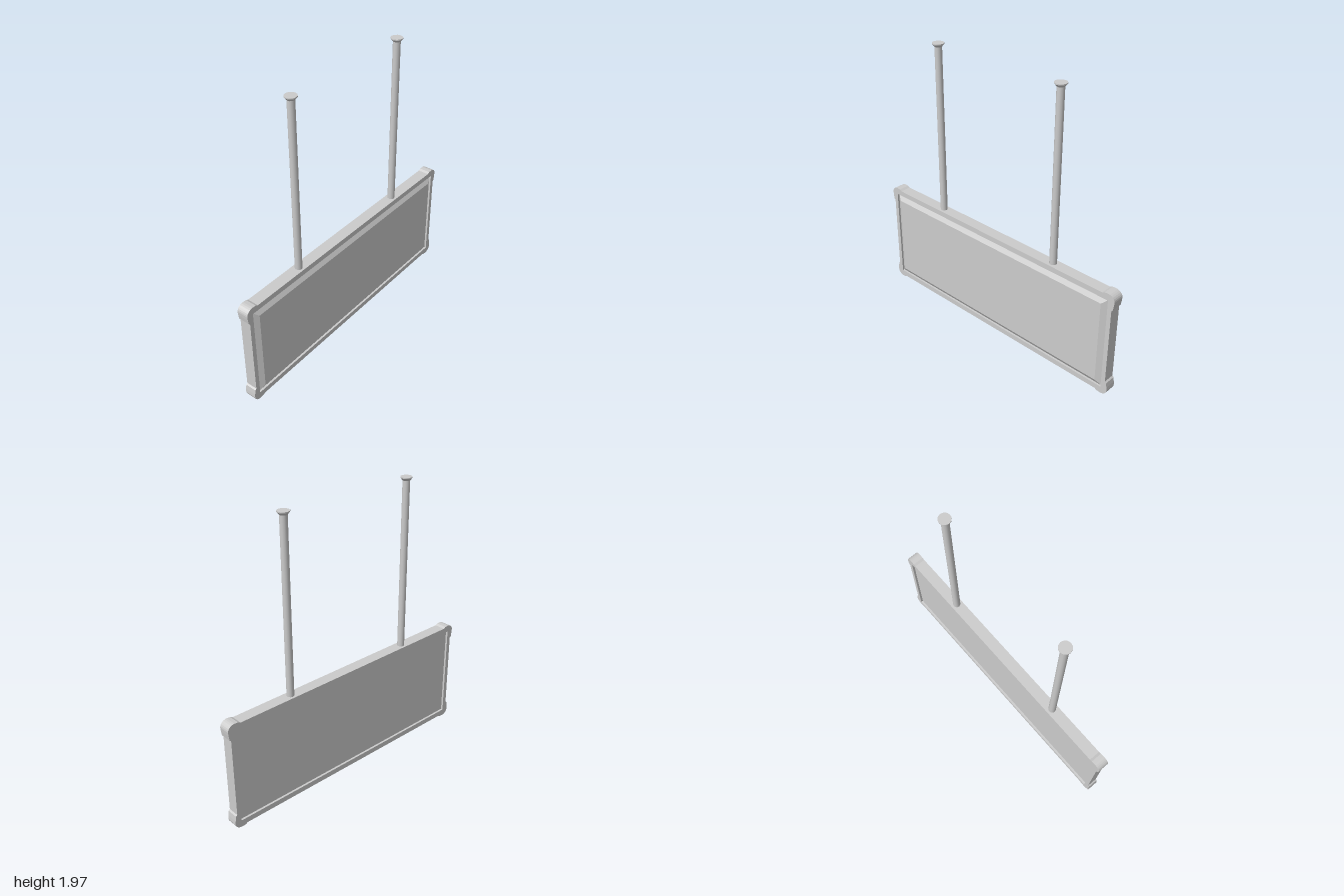
import * as THREE from 'three';

const MID_Y = 0.388;      // centre height of the sign box
const MID_Z = -0.005;     // centre depth of the frame
const material = new THREE.MeshStandardMaterial({ color: 0xcccccc, flatShading: true });
const smooth = new THREE.MeshStandardMaterial({ color: 0xcccccc });

function add(parent, name, geometry, mat, x, y, z) {
  const mesh = new THREE.Mesh(geometry, mat);
  mesh.name = name;
  mesh.position.set(x, y, z);
  parent.add(mesh);
  return mesh;
}

// Frame outline: one bumper corner mirrored into four, with a rectangular opening
function frameGeometry() {
  const corner = [[0.983, 0.278], [0.993, 0.287], [0.998, 0.32], [1, 0.345]];
  for (let i = 0; i <= 6; i++) {
    const a = (i / 6) * Math.PI / 2;
    corner.push([0.95 + 0.05 * Math.cos(a), 0.345 + 0.043 * Math.sin(a)]);
  }
  corner.push([0.925, 0.386], [0.908, 0.377]);
  const back = [...corner].reverse();
  const outline = [
    ...corner,
    ...back.map(([x, y]) => [-x, y]),
    ...corner.map(([x, y]) => [-x, -y]),
    ...back.map(([x, y]) => [x, -y]),
  ].map(([x, y]) => new THREE.Vector2(x, y));
  const shape = new THREE.Shape(outline);
  const w = 0.953, h = 0.339;
  shape.holes.push(new THREE.Path([
    new THREE.Vector2(-w, -h), new THREE.Vector2(-w, h),
    new THREE.Vector2(w, h), new THREE.Vector2(w, -h),
  ]));
  return new THREE.ExtrudeGeometry(shape, { depth: 0.08, bevelEnabled: false }).translate(0, 0, -0.04);
}

// Panel: a slab whose front third tapers to a raised face
function panelGeometry() {
  const geometry = new THREE.BoxGeometry(1.908, 0.68, 2, 1, 1, 2);
  const p = geometry.attributes.position;
  for (let i = 0; i < p.count; i++) {
    const z = p.getZ(i);
    if (z > 0.5) p.setXYZ(i, Math.sign(p.getX(i)) * 0.91, Math.sign(p.getY(i)) * 0.3, 0.045);
    else p.setZ(i, z < -0.5 ? -0.03 : 0.02);
  }
  const flat = geometry.toNonIndexed();
  flat.computeVertexNormals();
  return flat;
}

export function createModel() {
  const model = new THREE.Group();
  model.name = 'hangingSign';

  add(model, 'frame', frameGeometry(), material, 0, MID_Y, MID_Z);
  add(model, 'panel', panelGeometry(), material, 0, MID_Y, 0);

  // Hanging rods with flared ceiling mounts
  for (const side of [-1, 1]) {
    const hanger = new THREE.Group();
    hanger.name = side < 0 ? 'rightHanger' : 'leftHanger';
    hanger.position.set(side * 0.496, 0, MID_Z);
    add(hanger, 'rod', new THREE.CylinderGeometry(0.025, 0.025, 1.19, 12), smooth, 0, 1.355, 0);
    add(hanger, 'mountFlare', new THREE.CylinderGeometry(0.039, 0.025, 0.017, 12), smooth, 0, 1.9545, 0);
    add(hanger, 'mountRim', new THREE.CylinderGeometry(0.04, 0.04, 0.007, 12), smooth, 0, 1.9665, 0);
    model.add(hanger);
  }
  return model;
}
